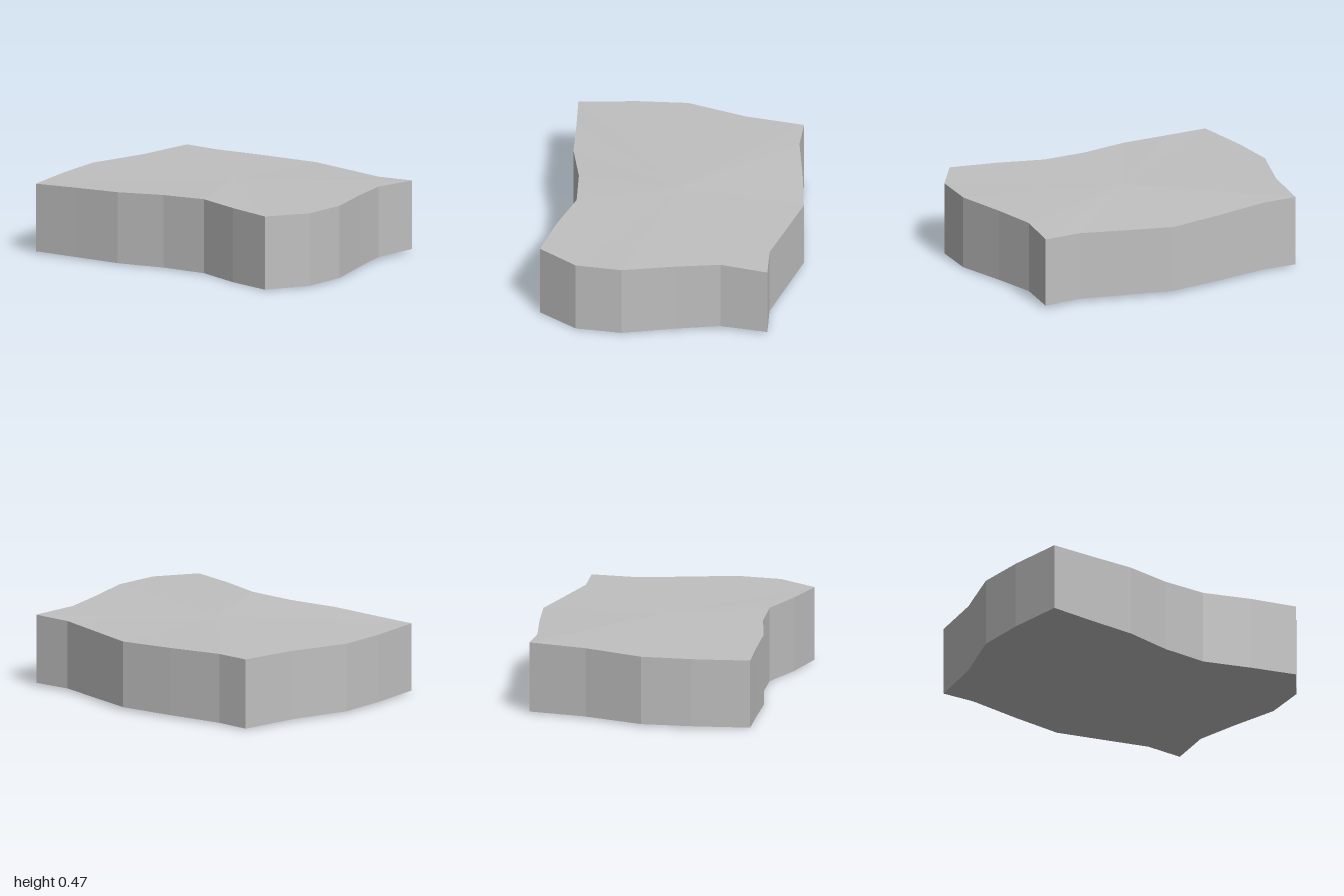
import * as THREE from 'three';

// Outline of the slab, clockwise from above: [x, z, bottom y, top y]
const outline = [
  // back edge
  [-0.85, -0.635, 0.008, 0.443], [-0.635, -0.64, 0.01, 0.442], [-0.29, -0.715, 0.014, 0.436],
  [0.045, -0.775, 0.018, 0.43], [0.335, -0.715, 0.017, 0.435], [0.625, -0.655, 0.017, 0.44],
  // left edge
  [0.865, -0.68, 0.017, 0.445], [0.835, -0.385, 0.013, 0.453], [0.905, -0.11, 0.01, 0.456],
  [0.998, 0.2, 0.007, 0.458], [0.988, 0.485, 0.005, 0.458],
  // front edge
  [0.835, 0.73, 0.003, 0.46], [0.545, 0.675, 0, 0.463], [0.255, 0.595, 0.003, 0.465],
  [-0.035, 0.627, 0.004, 0.457], [-0.33, 0.707, 0.005, 0.448], [-0.635, 0.737, 0.007, 0.44],
  // right edge
  [-0.915, 0.77, 0.01, 0.432], [-0.975, 0.415, 0.012, 0.434], [-1, 0.105, 0.012, 0.436],
  [-0.895, -0.27, 0.01, 0.44],
];

const bottomRim = outline.map(([x, z, y]) => [x, y, z]);
const topRim = outline.map(([x, z, , y]) => [x, y, z]);

// Builds flat-faced geometry from a function giving the corners at each outline edge
function facets(cornersAt) {
  const positions = outline.flatMap((_, i) => cornersAt(i, (i + 1) % outline.length).flat());
  const geometry = new THREE.BufferGeometry();
  geometry.setAttribute('position', new THREE.Float32BufferAttribute(positions, 3));
  geometry.computeVertexNormals();
  return geometry;
}

export function createModel() {
  const group = new THREE.Group();
  group.name = 'stoneSlab';
  const stone = new THREE.MeshStandardMaterial({ color: 0xc0c0c0 });
  stone.name = 'stone grey';

  const add = (name, geometry) => {
    const mesh = new THREE.Mesh(geometry, stone);
    mesh.name = name;
    group.add(mesh);
  };

  // Top and underside are fans around a middle point
  add('topSurface', facets((i, j) => [[0, 0.457, 0], topRim[j], topRim[i]]));
  add('underside', facets((i, j) => [[0, 0.009, 0], bottomRim[i], bottomRim[j]]));

  // Upright faceted rim
  add('sideWall', facets((i, j) => [
    bottomRim[j], bottomRim[i], topRim[i],
    bottomRim[j], topRim[i], topRim[j],
  ]));

  return group;
}
